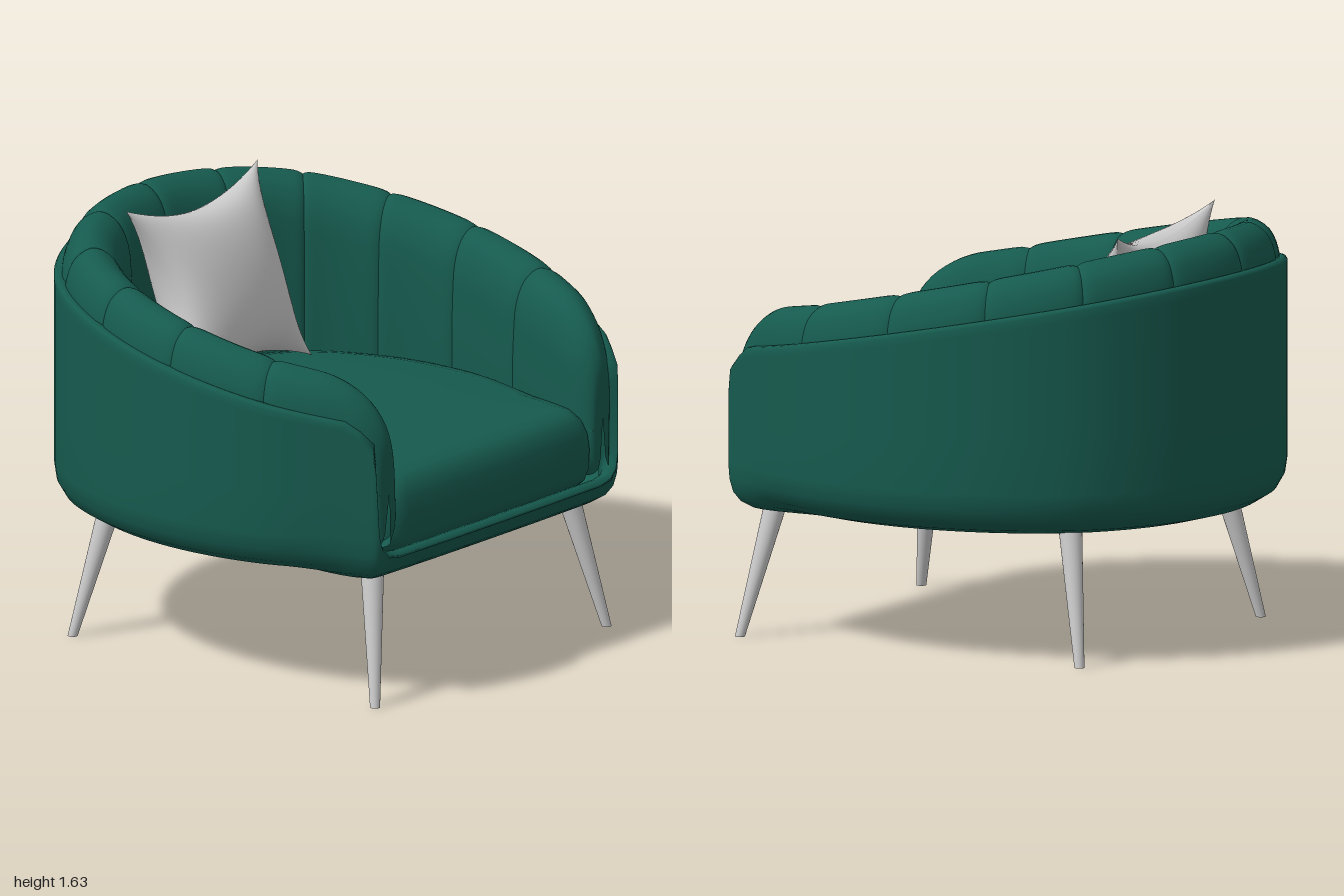
import * as THREE from 'three';

const V = (x, y, z) => new THREE.Vector3(x, y, z);
const green = new THREE.MeshStandardMaterial({ color: 0x165a4e, side: THREE.DoubleSide });
const grey = new THREE.MeshStandardMaterial({ color: 0xcccccc });
const { lerp, smoothstep, clamp } = THREE.MathUtils;

// Skin a list of cross-sections; closed joins the last to the first
function loft(rows, closed = false, flip = false) {
  const m = rows[0].length, n = rows.length, pos = [], idx = [];
  rows.forEach(r => r.forEach(p => pos.push(p.x, p.y, p.z)));
  for (let i = 0; i < (closed ? n : n - 1); i++) {
    for (let j = 0; j < m - 1; j++) {
      const a = i * m + j, b = ((i + 1) % n) * m + j, c = a + 1, d = b + 1;
      if (flip) idx.push(a, b, c, b, d, c);
      else idx.push(a, c, b, b, c, d);
    }
  }
  const g = new THREE.BufferGeometry();
  g.setAttribute('position', new THREE.Float32BufferAttribute(pos, 3));
  g.setIndex(idx);
  g.computeVertexNormals();
  return g;
}

function add(group, name, geometry, material) {
  const mesh = new THREE.Mesh(geometry, material);
  mesh.name = name;
  group.add(mesh);
  return mesh;
}

// Plan outline of the tub; the control points are also the channel seams
const half = [[0.4, -0.865], [0.73, -0.64], [0.92, -0.3], [0.99, 0.1], [0.93, 0.52], [0.73, 0.91]];
const plan = new THREE.CatmullRomCurve3([
  ...half.map(([x, z]) => V(-x, 0, z)).reverse(), V(0, 0, -0.945), ...half.map(([x, z]) => V(x, 0, z))]);
const rimHeight = z => 1.12 + (0.84 - z) * 0.185 - 0.07 * smoothstep(z, 0.82, 0.92);

// Point and inward direction at u = 0 (back centre) to 6 (front of arm)
function station(u) {
  const t = 0.5 + u / 12, p = plan.getPoint(t), d = plan.getTangent(t);
  const inward = V(-d.z, 0, d.x * (1 - clamp(u - 5, 0, 1))).normalize();
  return { p, inward };
}

// Full loop from a right-hand half, both ends on the centre line
const mirrorLoop = list => [...list,
  ...list.slice(1, -1).reverse().map(q => ({ ...q, p: V(-q.p.x, q.p.y, q.p.z) }))];

function shellGeometry() {
  const list = [];
  for (let i = 0; i <= 48; i++) {
    const { p } = station(i / 8);
    list.push({ p, h: rimHeight(p.z) });
  }
  // Front edge of the arm, dropping to the low front rail
  [[0.722, 0.921, 0.96], [0.716, 0.926, 0.82], [0.71, 0.929, 0.7], [0.695, 0.932, 0.64], [0.66, 0.935, 0.61],
    [0.6, 0.937, 0.6], [0.3, 0.942, 0.6], [0, 0.943, 0.6]].forEach(([x, z, h]) => list.push({ p: V(x, 0, z), h }));
  const loop = mirrorLoop(list), n = loop.length;
  const rows = loop.map(({ p, h }, i) => {
    const d = loop[(i + 1) % n].p.clone().sub(loop[(i + n - 1) % n].p);
    const inward = V(-d.z, 0, d.x).normalize();
    const row = [[0, 0.468], [0.5, 0.473], [0.8, 0.495], [0.9, 0.52], [0.96, 0.555], [0.99, 0.605], [1, 0.67]]
      .map(([s, y]) => {
        const k = s < 0.8 ? s : 1 - (1 - s) * (1 - 0.6 * smoothstep(p.z, 0.6, 0.9));
        return V(p.x * k, Math.min(y, h - 0.02), p.z * k);
      });
    const base = row[6].y;
    for (const f of [0.33, 0.67, 0.95, 1]) row.push(V(p.x, lerp(base, h - 0.012, f), p.z));
    for (const [o, y] of [[0.008, 0], [0.022, 0.004], [0.04, 0], [0.06, -0.02], [0.08, -0.1]]) {
      row.push(p.clone().addScaledVector(inward, o).setY(Math.max(h + y, 0.56)));
    }
    return row;
  });
  return loft(rows, true);
}

// One upholstered channel between two seams; the last one rounds off at the arm front
function channelGeometry(k, side) {
  const rows = [], steps = 20, last = k === 5;
  for (let i = 0; i <= steps; i++) {
    const t = i / steps;
    const s = last ? Math.sin(t * Math.PI / 2) : 0.5 - 0.5 * Math.cos(Math.PI * t);
    const { p, inward } = station(k + s);
    const h = 1.12 + (0.84 - p.z) * 0.185;
    const pinch = last && s > 0.5 ? 0 : Math.abs(2 * s - 1) ** 10;
    const round = x => 1 - Math.sqrt(1 - clamp(x, 0, 1) ** 2);
    const drop = last ? 0.25 * round((s - 0.4) / 0.6) : 0;
    const squeeze = (1 - 0.09 * pinch) * (last ? 1 - 0.5 * round((s - 0.78) / 0.22) : 1);
    const width = last ? 1 - 0.38 * s * s : 1;
    const foot = 0.6 + (last ? 0.05 * round((s - 0.78) / 0.22) : 0);
    const top = h - drop - 0.012 * pinch;
    const profile = new THREE.CatmullRomCurve3([
      [0.04, foot], [0.03, 0.85], [0.028, top - 0.06], [0.035, top + 0.03], [0.07, top + 0.105], [0.14, top + 0.143],
      [0.21, top + 0.11], [0.255, top + 0.03], [0.272, top - 0.12], [0.275, 0.8], [0.265, foot + 0.06], [0.2, foot]]
      .map(([d, y]) => V((0.15 + (d - 0.15) * squeeze) * width, y, 0)));
    const row = profile.getPoints(36).map(q => {
      const w = p.clone().addScaledVector(inward, q.x);
      return V(w.x * side, q.y, w.z);
    });
    rows.push(row);
  }
  if (last) { // closing cap
    const end = rows[steps];
    const c = end.reduce((a, q) => a.add(q), V(0, 0, 0)).divideScalar(end.length);
    for (const f of [0.4, 1]) rows.push(end.map(q => V(lerp(q.x, c.x, f), lerp(q.y, c.y, f * f), q.z + 0.006 * f)));
  }
  return loft(rows, false, side < 0);
}

function cushionGeometry() {
  const list = [];
  for (let i = 0; i <= 30; i++) {
    const { p, inward } = station(i / 6);
    list.push({ p: p.addScaledVector(inward, 0.22) });
  }
  [[0.66, 0.64], [0.63, 0.78], [0.6, 0.87], [0.57, 0.905], [0.52, 0.918], [0.3, 0.925], [0, 0.927]]
    .forEach(([x, z]) => list.push({ p: V(x, 0, z) }));
  const rows = mirrorLoop(list).map(({ p }) => {
    const dir = V(-p.x, 0, 0.1 - p.z).normalize();
    const row = [[0.06, 0.57], [0.02, 0.605], [0.004, 0.65], [0, 0.73], [0.008, 0.79], [0.03, 0.84], [0.07, 0.872], [0.13, 0.885]]
      .map(([o, y]) => p.clone().addScaledVector(dir, o).setY(y));
    for (const [f, y] of [[0.5, 0.893], [0, 0.896]]) row.push(V(p.x * f, y, 0.1 + (p.z - 0.1) * f));
    return row;
  });
  return loft(rows, true);
}

// One face of the scatter pillow: pinched edges, pointed corners
function pillowFace(side) {
  const n = 28, rows = [];
  for (let i = 0; i <= n; i++) {
    const row = [];
    for (let j = 0; j <= n; j++) {
      const u = Math.sin((i / n - 0.5) * Math.PI), v = Math.sin((j / n - 0.5) * Math.PI);
      const x = 0.445 * u * (1 - 0.27 * (1 - v * v) * u * u);
      const y = 0.385 * v * (1 - 0.24 * (1 - u * u) * v * v);
      row.push(V(x, y, side * 0.155 * ((1 - u * u) * (1 - v * v)) ** 0.55));
    }
    rows.push(row);
  }
  return loft(rows, false, side > 0);
}

export function createModel() {
  const model = new THREE.Group();
  model.name = 'tubArmchair';
  add(model, 'outerShell', shellGeometry(), green);
  add(model, 'seatCushion', cushionGeometry(), green);

  // Channelled back and arms
  const back = new THREE.Group();
  back.name = 'channelledBack';
  model.add(back);
  for (const side of [1, -1]) {
    for (let k = 0; k < 6; k++) {
      add(back, (side > 0 ? 'left' : 'right') + (k === 5 ? 'ArmFront' : 'Channel' + (k + 1)), channelGeometry(k, side), green);
    }
  }

  // Scatter pillow leaning on the back
  const pillow = new THREE.Group();
  pillow.name = 'pillow';
  add(pillow, 'pillowFront', pillowFace(1), grey);
  add(pillow, 'pillowBack', pillowFace(-1), grey);
  pillow.position.set(0.005, 1.258, -0.445);
  pillow.rotation.set(-0.34, 0.1, -0.02, 'YXZ');
  model.add(pillow);

  // Splayed tapered legs
  for (const side of [1, -1]) {
    for (const [name, zTop, zFoot] of [['Front', 0.79, 0.89], ['Back', -0.49, -0.59]]) {
      const g = new THREE.CylinderGeometry(0.045, 0.019, 0.515, 24, 1);
      const a = g.attributes.position;
      for (let i = 0; i < a.count; i++) { // shear so both ends stay level
        const f = a.getY(i) / 0.515 + 0.5;
        a.setXYZ(i, a.getX(i) + side * lerp(0.69, 0.585, f), a.getY(i) + 0.2575, a.getZ(i) + lerp(zFoot, zTop, f));
      }
      g.computeVertexNormals();
      add(model, (side > 0 ? 'left' : 'right') + name + 'Leg', g, grey);
    }
  }
  return model;
}
